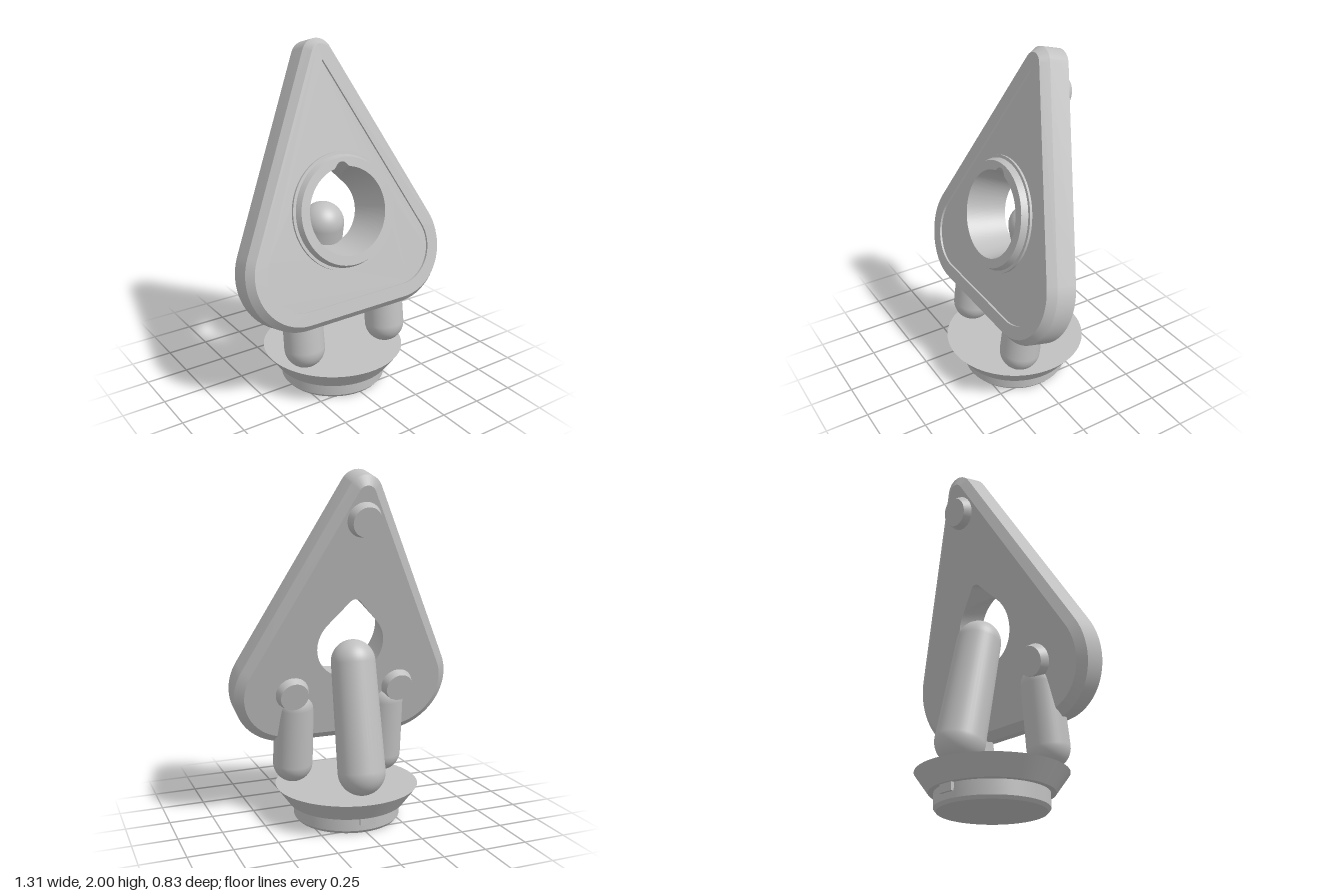
import * as THREE from 'three';
import { toCreasedNormals } from 'three/addons/utils/BufferGeometryUtils.js';

const TILT = THREE.MathUtils.degToRad(15.5);
const BACK = 0.212, FRONT = 0.411, FLOOR = 0.398;   // plate depths along its own normal
const RING_Y = 1.01;                                // height of the ring on the plate

// Rounded triangle outline (counter-clockwise), shrunk by an inset
function outline(inset) {
  const big = { x: 0.325, y: 0.73, r: 0.33 }, topR = 0.1, topY = 1.875;
  const dx = big.x, dy = topY - big.y;
  const slope = Math.atan2(dx, dy) + Math.asin((big.r - topR) / Math.hypot(dx, dy));
  const pts = [];
  const arc = (cx, cy, r, a0, a1, n) => {
    for (let i = 0; i <= n; i++) {
      const a = a0 + (a1 - a0) * i / n;
      pts.push(new THREE.Vector2(cx + r * Math.cos(a), cy + r * Math.sin(a)));
    }
  };
  arc(big.x, big.y, big.r - inset, -Math.PI / 2, slope, 28);
  if (inset < topR) arc(0, topY, topR - inset, slope, Math.PI - slope, 20);
  else pts.push(new THREE.Vector2(0, topY + (topR - inset) / Math.sin(slope)));
  arc(-big.x, big.y, big.r - inset, Math.PI - slope, 1.5 * Math.PI, 28);
  return pts;
}

// Radius of the teardrop hole in a direction measured from its apex
function tearRadius(phi) {
  const r = 0.2, half = THREE.MathUtils.degToRad(42), tip = 0.04;
  const p = Math.abs(phi), tangent = Math.PI / 2 - half;
  const c = (r - tip) / Math.sin(half);
  const tipEnd = Math.atan2(tip * Math.cos(half), c + tip * Math.sin(half));
  if (p < tipEnd) return c * Math.cos(p) + Math.sqrt(tip * tip - (c * Math.sin(p)) ** 2);
  return p < tangent ? r / Math.cos(tangent - p) : r;
}

// Loop around the ring centre, radius given by a rule
function polar(rule, n = 180) {
  const pts = [];
  for (let i = 0; i < n; i++) {
    let phi = 2 * Math.PI * i / n;
    if (phi > Math.PI) phi -= 2 * Math.PI;
    const r = rule(phi);
    pts.push(new THREE.Vector2(-r * Math.sin(phi), RING_Y + r * Math.cos(phi)));
  }
  return pts;
}

// Skin over closed loops, each [points, depth]
function loft(loops) {
  const pos = [], idx = [], n = loops[0][0].length;
  for (const [pts, z] of loops) for (const p of pts) pos.push(p.x, p.y, z);
  for (let k = 0; k < loops.length - 1; k++) {
    for (let i = 0; i < n; i++) {
      const a = k * n + i, b = k * n + (i + 1) % n;
      idx.push(a, b, b + n, a, b + n, a + n);
    }
  }
  const g = new THREE.BufferGeometry();
  g.setAttribute('position', new THREE.Float32BufferAttribute(pos, 3));
  g.setIndex(idx);
  return toCreasedNormals(g, 0.45);
}

function face(pts, hole) {
  const s = new THREE.Shape(pts);
  if (hole) s.holes.push(new THREE.Path(hole));
  return new THREE.ShapeGeometry(s);
}

// Round-ended, slightly tapered post along +y between the two sphere centres
function post(length, r0, r1) {
  const pts = [], n = 12;
  for (let i = 0; i <= n; i++) {
    const a = -Math.PI / 2 + Math.PI / 2 * i / n;
    pts.push(new THREE.Vector2(i ? r0 * Math.cos(a) : 0, r0 * Math.sin(a)));
  }
  for (let i = 0; i <= n; i++) {
    const a = Math.PI / 2 * i / n;
    pts.push(new THREE.Vector2(i < n ? r1 * Math.cos(a) : 0, length + r1 * Math.sin(a)));
  }
  return new THREE.LatheGeometry(pts, 40);
}

export function createModel() {
  const model = new THREE.Group();
  model.name = 'pointerOnStand';
  const grey = new THREE.MeshStandardMaterial({ color: 0xc0c0c0 });
  grey.name = 'light grey';
  const add = (parent, name, geometry, x = 0, y = 0, z = 0) => {
    const m = new THREE.Mesh(geometry, grey);
    m.name = name;
    m.position.set(x, y, z);
    parent.add(m);
    return m;
  };

  // Leaning plate, built upright and tilted back as a group
  const plate = new THREE.Group();
  plate.name = 'plate';
  plate.rotation.x = -TILT;
  model.add(plate);
  const rimEdge = outline(0.035), recess = outline(0.11), backEdge = outline(0.05);
  add(plate, 'plateEdge', loft([
    [backEdge, BACK], [outline(0), BACK + 0.033], [outline(0), FRONT - 0.044], [rimEdge, FRONT],
  ]));
  add(plate, 'plateRim', face(rimEdge, recess), 0, 0, FRONT);
  add(plate, 'recessWall', loft([[recess, FRONT], [recess, FLOOR]]));
  add(plate, 'recessFloor', face(recess, polar(() => 0.325)), 0, 0, FLOOR);
  add(plate, 'plateBack', face(backEdge, polar(tearRadius)).rotateY(Math.PI), 0, 0, BACK);

  // Raised ring, running on into the funnel and teardrop hole
  const ringTop = 0.447;
  const rings = [[0.335, FLOOR - 0.01], [0.335, FLOOR + 0.014], [0.318, FLOOR + 0.014], [0.303, ringTop]]
    .map(([r, z]) => [polar(() => r), z]);
  const rows = 8;
  for (let i = 0; i <= rows; i++) {
    const t = i / rows;
    rings.push([polar(p => Math.max(0.25 - 0.05 * t, tearRadius(p))), ringTop + (BACK - ringTop) * t]);
  }
  add(plate, 'ringAndHole', loft(rings));

  // Three small feet on the back of the plate
  for (const [x, y] of [[0, 1.741], [0.325, 0.73], [-0.325, 0.73]]) {
    const foot = new THREE.CylinderGeometry(0.1, 0.082, 0.055, 40).rotateX(Math.PI / 2);
    add(plate, 'plateFoot', foot, x, y, 0.1915);
  }

  // Posts: two short ones in front, one long one behind leaning forward
  for (const x of [-0.285, 0.285]) {
    const front = add(model, 'frontPost', post(0.345, 0.117, 0.112), x, 0.317, 0.138);
    front.rotation.x = -0.12;
  }
  const back = add(model, 'backPost', post(0.62, 0.136, 0.126), 0, 0.335, -0.23);
  back.rotation.x = 0.205;

  // Round base with a flared top
  const profile = [
    [0, 0], [0.295, 0], [0.31, 0.018], [0.31, 0.098], [0.34, 0.098], [0.417, 0.204], [0, 0.204],
  ].map(p => new THREE.Vector2(...p));
  add(model, 'base', toCreasedNormals(new THREE.LatheGeometry(profile, 80), 0.4));
  add(model, 'baseTab', new THREE.BoxGeometry(0.09, 0.048, 0.04), 0, 0.077, -0.305);
  return model;
}
